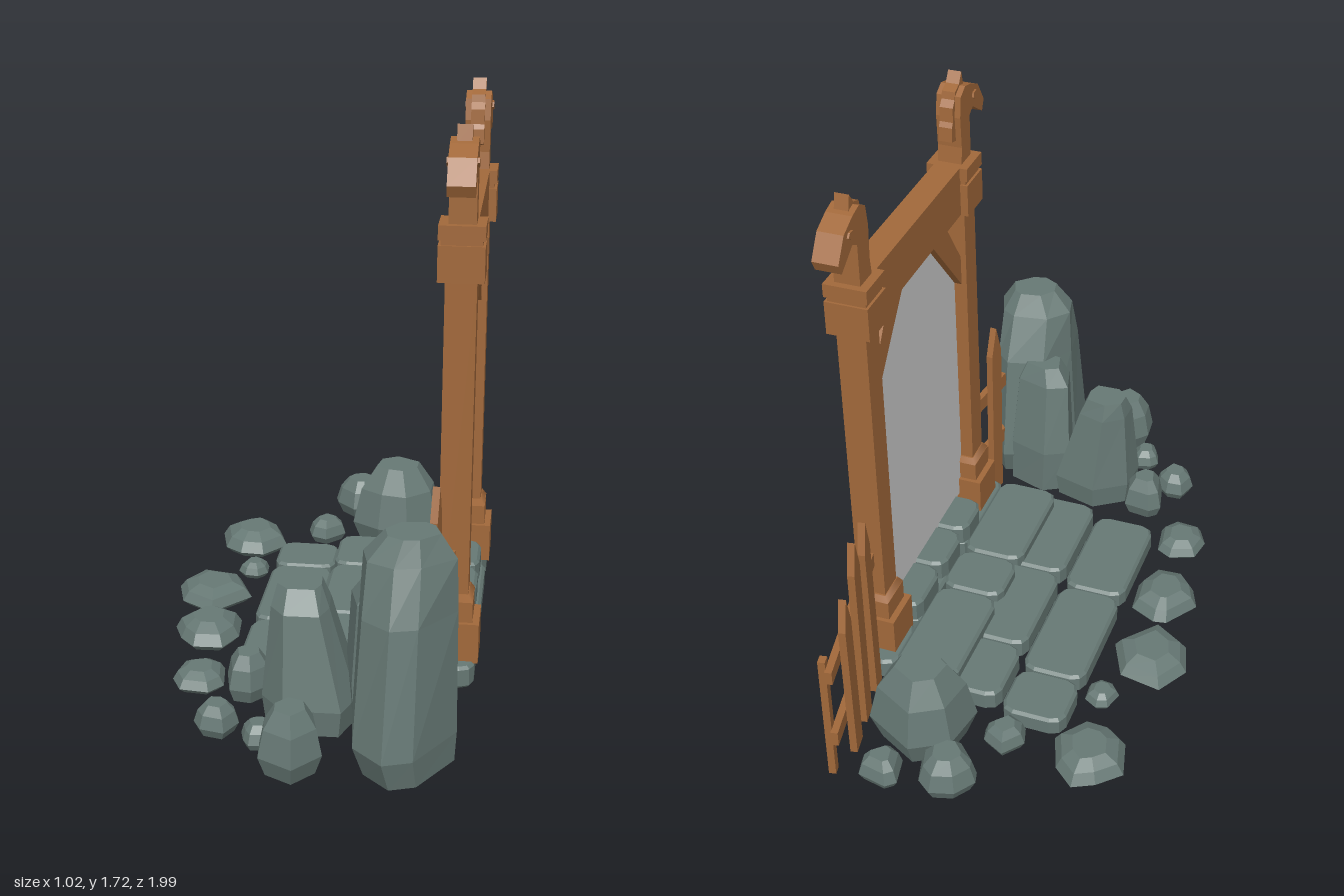
import * as THREE from 'three';

const wood = new THREE.MeshStandardMaterial({ color: 0xa1683a });
wood.name = 'wood';
const stone = new THREE.MeshStandardMaterial({ color: 0x667874 });
stone.name = 'stone';
const veil = new THREE.MeshStandardMaterial({ color: 0xcccccc });
veil.name = 'pale grey';

function add(parent, name, geometry, material) {
  const mesh = new THREE.Mesh(geometry, material);
  mesh.name = name;
  parent.add(mesh);
  return mesh;
}

// Box given by its limits
function box(x0, x1, y0, y1, z0, z1) {
  return new THREE.BoxGeometry(x1 - x0, y1 - y0, z1 - z0)
    .translate((x0 + x1) / 2, (y0 + y1) / 2, (z0 + z1) / 2);
}

// Outline of [z, y] points, given thickness along x and centred on x
function profile(points, depth, x = 0) {
  const shape = new THREE.Shape(points.map(p => new THREE.Vector2(p[0], p[1])));
  return new THREE.ExtrudeGeometry(shape, { depth, bevelEnabled: false })
    .rotateY(-Math.PI / 2).translate(x + depth / 2, 0, 0);
}

// Square block with sloping sides
function taper(bottom, top, y0, y1, z) {
  return new THREE.CylinderGeometry(top * Math.SQRT1_2, bottom * Math.SQRT1_2, y1 - y0, 4, 1)
    .rotateY(Math.PI / 4).translate(0, (y0 + y1) / 2, z);
}

// Paving block with cut corners and a small bevel
function slab(x0, x1, y0, y1, z0, z1) {
  const b = 0.009, c = 0.035, w = (x1 - x0) / 2 - b, d = (z1 - z0) / 2 - b;
  const pts = [[w, c - d], [w, d - c], [w - c * 0.3, d - c * 0.3], [w - c, d], [c - w, d],
    [c * 0.3 - w, d - c * 0.3], [-w, d - c], [-w, c - d], [c * 0.3 - w, c * 0.3 - d],
    [c - w, -d], [w - c, -d], [w - c * 0.3, c * 0.3 - d]];
  const shape = new THREE.Shape(pts.map(p => new THREE.Vector2(p[0], p[1])));
  return new THREE.ExtrudeGeometry(shape, {
    depth: y1 - y0 - 2 * b, bevelSize: b, bevelThickness: b, bevelSegments: 1
  }).rotateX(-Math.PI / 2).translate((x0 + x1) / 2, y0 + b, (z0 + z1) / 2);
}

function seeded(seed) {
  let s = seed * 7919 + 17;
  return () => (s = (s * 16807) % 2147483647) / 2147483647;
}

// Faceted rock: rings are [y, x0, x1, z0, z1], joined around an uneven polygon
function rock(rings, seed, sides = 7) {
  const rnd = seeded(seed);
  rnd();
  const unit = [];
  for (let i = 0; i < sides; i++) {
    const a = (i + rnd() * 0.55) / sides * Math.PI * 2, r = 0.88 + rnd() * 0.2;
    unit.push([Math.cos(a) * r, Math.sin(a) * r]);
  }
  for (const k of [0, 1]) {
    const lo = Math.min(...unit.map(p => p[k])), hi = Math.max(...unit.map(p => p[k]));
    unit.forEach(p => { p[k] = (p[k] - lo) / (hi - lo); });
  }
  const loops = rings.map(([y, x0, x1, z0, z1]) =>
    unit.map(([u, v]) => [x0 + (x1 - x0) * u, y, z0 + (z1 - z0) * v]));
  const centre = ([y, x0, x1, z0, z1]) => [(x0 + x1) / 2, y, (z0 + z1) / 2];
  const bottom = centre(rings[0]), top = centre(rings[rings.length - 1]);
  const out = [];
  for (let i = 0; i < sides; i++) {
    const j = (i + 1) % sides, last = loops[loops.length - 1];
    for (let k = 0; k + 1 < loops.length; k++) {
      const a = loops[k], b = loops[k + 1];
      out.push(...a[i], ...b[i], ...a[j], ...b[i], ...b[j], ...a[j]);
    }
    out.push(...top, ...last[j], ...last[i], ...bottom, ...loops[0][i], ...loops[0][j]);
  }
  const g = new THREE.BufferGeometry();
  g.setAttribute('position', new THREE.Float32BufferAttribute(out, 3));
  g.computeVertexNormals();
  return g;
}

// Small boulder filling a box
function boulder(x0, x1, y0, y1, z0, z1, seed, sides) {
  const steps = [[0, 0.78], [0.3, 1], [0.72, 0.82], [1, 0.48]];
  const cx = (x0 + x1) / 2, cz = (z0 + z1) / 2, w = (x1 - x0) / 2, d = (z1 - z0) / 2;
  return rock(steps.map(([t, s]) =>
    [y0 + (y1 - y0) * t, cx - w * s, cx + w * s, cz - d * s, cz + d * s]), seed, sides);
}

// Half of the gate, on its +z side
function gateSide() {
  const g = new THREE.Group(), z = 0.367;
  add(g, 'post', box(-0.045, 0.045, 0.13, 1.3, z - 0.042, z + 0.042), wood);
  add(g, 'postFoot', box(-0.08, 0.08, 0.125, 0.25, z - 0.07, z + 0.07), wood);
  add(g, 'postFootCollar', box(-0.06, 0.06, 0.25, 0.315, z - 0.057, z + 0.057), wood);
  add(g, 'postFootSlope', taper(0.118, 0.095, 0.315, 0.335, z), wood);
  add(g, 'capital', box(-0.066, 0.066, 1.285, 1.39, z - 0.061, z + 0.061), wood);
  add(g, 'capitalGroove', box(-0.058, 0.058, 1.39, 1.405, z - 0.054, z + 0.054), wood);
  add(g, 'capitalTop', box(-0.066, 0.066, 1.405, 1.447, z - 0.061, z + 0.061), wood);
  add(g, 'brace', profile([[0.327, 1.02], [0.327, 1.12], [0.215, 1.29], [0.1, 1.29]], 0.055), wood);
  // Carved horse head looking outward
  add(g, 'horseHead', profile([[0.407, 1.44], [0.407, 1.578], [0.434, 1.594], [0.509, 1.545],
    [0.525, 1.578], [0.481, 1.647], [0.423, 1.674], [0.38, 1.685], [0.343, 1.665],
    [0.333, 1.6], [0.338, 1.5], [0.331, 1.44]], 0.078), wood);
  add(g, 'horseMane', profile([[0.41, 1.67], [0.397, 1.722], [0.375, 1.69], [0.343, 1.678],
    [0.338, 1.655], [0.321, 1.635], [0.318, 1.59], [0.309, 1.575], [0.306, 1.53],
    [0.345, 1.52], [0.36, 1.62]], 0.042), wood);
  for (const s of [-1, 1]) {
    add(g, 'horseEye', profile([[0.43, 1.625], [0.445, 1.615], [0.465, 1.63], [0.455, 1.642],
      [0.435, 1.64]], 0.008, s * 0.041), wood);
  }
  return g;
}

// Pointed fence board
function picket(z0, z1, y0, y1, lean) {
  const m = (z0 + z1) / 2 + lean, h = (z1 - z0) / 2;
  return profile([[z0, y0], [z1, y0], [m + h, y1 - 0.1], [m, y1], [m - h, y1 - 0.1]], 0.022, -0.022);
}

export function createModel() {
  const model = new THREE.Group();
  model.name = 'gateway';

  // Gate
  const gate = new THREE.Group();
  gate.name = 'gate';
  gate.position.set(0.43, 0, -0.081);
  model.add(gate);
  const left = gateSide(), right = gateSide();
  left.name = 'gateSideA';
  right.name = 'gateSideB';
  right.rotation.y = Math.PI;
  gate.add(left, right);
  add(gate, 'lintel', box(-0.042, 0.042, 1.288, 1.447, -0.31, 0.31), wood);
  add(gate, 'doorVeil', profile([[-0.327, 0.19], [0.327, 0.19], [0.327, 1.04], [0.11, 1.29],
    [-0.11, 1.29], [-0.327, 1.04]], 0.006), veil);

  // Long fence
  const longFence = new THREE.Group();
  longFence.name = 'longFence';
  longFence.position.set(0.425, 0, -0.49);
  longFence.rotation.y = 0.18;
  model.add(longFence);
  add(longFence, 'upperRail', profile([[-0.5, 0.43], [0.02, 0.445], [0.02, 0.495], [-0.5, 0.475]], 0.022), wood);
  add(longFence, 'lowerRail', profile([[-0.5, 0.185], [0.02, 0.19], [0.02, 0.242], [-0.5, 0.235]], 0.022), wood);
  add(longFence, 'picket', picket(-0.15, -0.09, 0.06, 0.725, -0.015), wood);
  add(longFence, 'picket', picket(-0.28, -0.22, 0.06, 0.745, 0), wood);
  add(longFence, 'picket', picket(-0.4, -0.336, 0.055, 0.645, -0.01), wood);
  add(longFence, 'endStake', box(0.01, 0.032, 0.05, 0.5, -0.488, -0.46), wood);

  // Short fence
  const shortFence = new THREE.Group();
  shortFence.name = 'shortFence';
  shortFence.position.set(0.425, 0, 0.32);
  shortFence.rotation.y = -0.13;
  model.add(shortFence);
  add(shortFence, 'upperRail', box(-0.011, 0.011, 0.425, 0.475, 0, 0.245), wood);
  add(shortFence, 'lowerRail', box(-0.011, 0.011, 0.195, 0.247, 0, 0.245), wood);
  add(shortFence, 'picket', picket(0.105, 0.168, 0.05, 0.725, 0.008), wood);

  // Stone steps: x limits, y limits, then the cuts along z
  const rows = [
    ['lowerStep', -0.22, -0.015, 0, 0.065, [-0.58, -0.385, 0.025, 0.41]],
    ['middleStep', -0.01, 0.23, 0.035, 0.105, [-0.575, -0.335, 0.03, 0.405]],
    ['upperStep', 0.13, 0.335, 0.065, 0.14, [-0.58, -0.185, 0.005, 0.395]],
    ['gateSlab', 0.33, 0.5, 0.06, 0.13, [-0.575, -0.37, 0.03, 0.405]],
    ['threshold', 0.33, 0.485, 0.125, 0.2, [-0.378, -0.17, 0.02, 0.195]]
  ];
  for (const [name, x0, x1, y0, y1, cuts] of rows) {
    for (let i = 0; i < 3; i++) {
      add(model, name, slab(x0, x1, y0, y1, cuts[i] + 0.003, cuts[i + 1] - 0.003), stone);
    }
  }

  // Tall rocks
  add(model, 'tallRock', rock([[0.05, 0.21, 0.47, 0.56, 0.96], [0.14, 0.18, 0.475, 0.53, 0.99],
    [0.5, 0.2, 0.47, 0.59, 0.925], [0.65, 0.21, 0.465, 0.66, 0.86], [0.72, 0.27, 0.42, 0.7, 0.83]], 3, 8), stone);
  add(model, 'rockShard', rock([[0.04, 0.15, 0.38, 0.5, 0.7], [0.2, 0.14, 0.38, 0.5, 0.7],
    [0.45, 0.16, 0.36, 0.55, 0.7], [0.51, 0.2, 0.33, 0.58, 0.68]], 8, 6), stone);
  add(model, 'standingRock', rock([[0.05, -0.08, 0.17, 0.46, 0.71], [0.13, -0.09, 0.18, 0.45, 0.72],
    [0.4, -0.065, 0.1, 0.49, 0.67], [0.46, -0.05, 0.075, 0.51, 0.62]], 5, 7), stone);

  // Scattered boulders: x, y and z limits
  const boulders = [
    [-0.22, -0.08, 0.06, 0.2, 0.44, 0.58],
    [-0.28, -0.15, 0.03, 0.12, 0.61, 0.74],
    [-0.13, -0.03, 0.05, 0.12, 0.71, 0.82],
    [-0.06, 0.12, 0.05, 0.24, 0.78, 0.99],
    [-0.4, -0.24, 0.02, 0.08, 0.3, 0.48],
    [-0.46, -0.25, 0.02, 0.1, -0.03, 0.21],
    [-0.51, -0.26, 0.02, 0.09, -0.32, -0.04],
    [-0.34, -0.24, 0.02, 0.07, -0.45, -0.34],
    [-0.45, -0.21, 0.01, 0.09, -0.78, -0.52],
    [-0.14, -0.01, 0.04, 0.12, -0.75, -0.61],
    [0.02, 0.32, 0.03, 0.32, -0.87, -0.58],
    [-0.07, 0.11, 0.06, 0.19, -0.99, -0.81],
    [0.15, 0.28, 0.06, 0.15, -1, -0.87]
  ];
  boulders.forEach((b, i) => add(model, 'boulder', boulder(...b, i + 11, 6 + (i % 3)), stone));

  return model;
}
